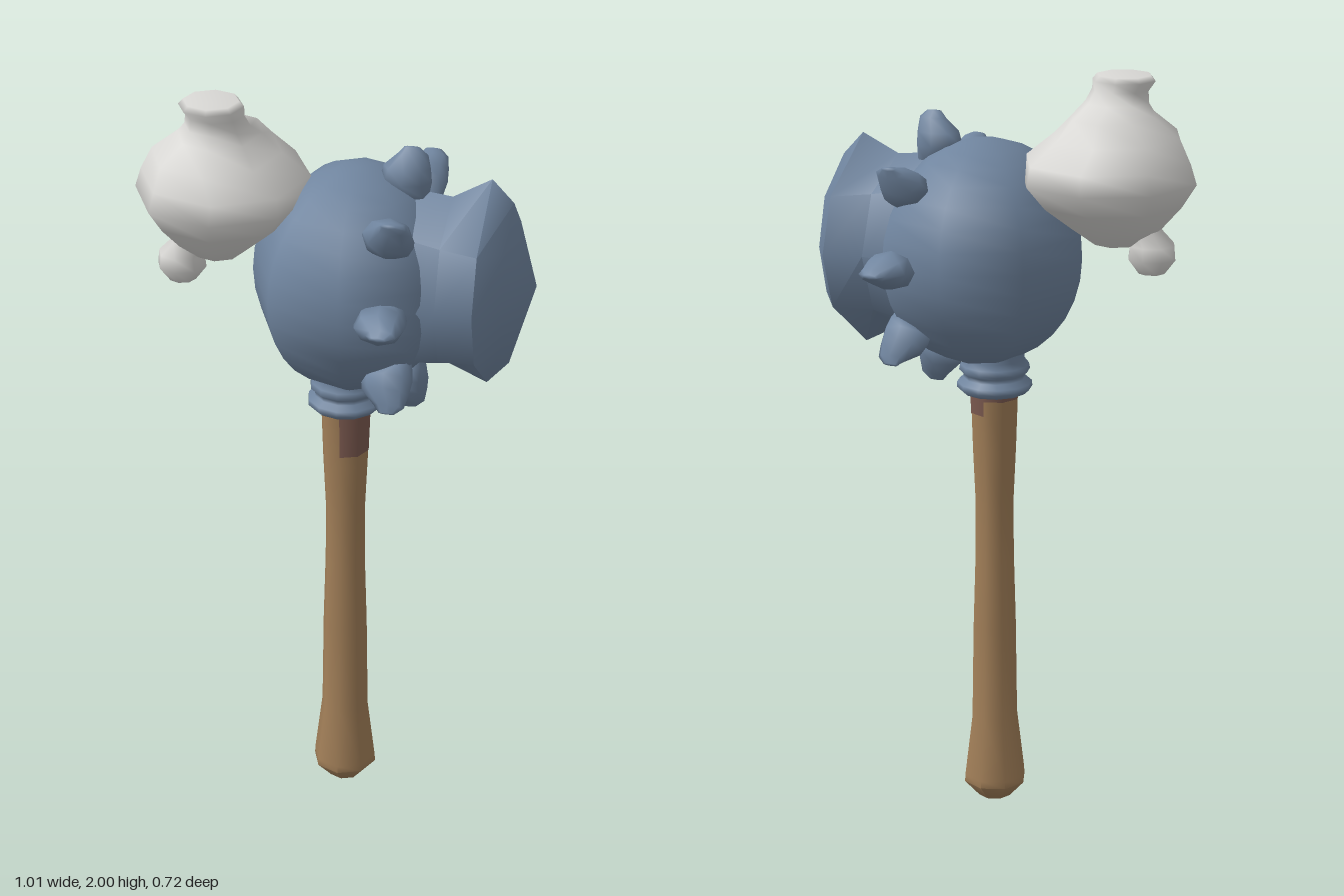
import * as THREE from 'three';
import { mergeVertices, toCreasedNormals } from 'three/addons/utils/BufferGeometryUtils.js';

const mat = (name, color) => new THREE.MeshStandardMaterial({ name, color });

// Signed power, used to pinch a round section toward a lens.
const spow = (v, p) => Math.sign(v) * Math.pow(Math.abs(v), p);

// Skin over rings stacked along y: [y, centreX, centreZ, radiusX, radiusZ, powerX, powerZ]
function loft(stations, sides = 8, turn = 0, crease = 0) {
  const pos = [], idx = [];
  for (const [y, cx, cz, rx, rz, px = 1, pz = 1] of stations) {
    for (let j = 0; j < sides; j++) {
      const a = turn + (j / sides) * Math.PI * 2;
      pos.push(cx + rx * spow(Math.sin(a), px), y, cz + rz * spow(Math.cos(a), pz));
    }
  }
  for (let i = 0; i < stations.length - 1; i++) {
    for (let j = 0; j < sides; j++) {
      const k = (j + 1) % sides;
      const a = i * sides + j, b = i * sides + k;
      idx.push(a, b, a + sides, b, b + sides, a + sides);
    }
  }
  let g = new THREE.BufferGeometry();
  g.setAttribute('position', new THREE.Float32BufferAttribute(pos, 3));
  g.setIndex(idx);
  g = mergeVertices(g, 1e-5);
  g.computeVertexNormals();
  return crease ? toCreasedNormals(g, crease) : g;
}

export function createModel() {
  const root = new THREE.Group();
  root.name = 'spikedHammer';
  const steel = mat('blueSteel', 0x70859f);
  const wood = mat('wood', 0xa38059);
  const stain = mat('darkStain', 0x7c5a50);
  const cloth = mat('paleCloth', 0xd9d8d5);

  const add = (name, geometry, material, parent = root) => {
    const m = new THREE.Mesh(geometry, material);
    m.name = name;
    parent.add(m);
    return m;
  };

  // Handle, flared at the foot
  const cx = 0.02, cz = 0.012;
  const round = (list) => list.map(([y, r]) => [y, cx, cz, r, r]);
  add('handle', loft(round([
    [0, 0], [0.004, 0.045], [0.05, 0.086], [0.07, 0.085], [0.24, 0.064], [0.5, 0.06],
    [0.7, 0.054], [0.85, 0.053], [1.0, 0.06], [1.18, 0.066],
  ]), 8, 0, 0.9), wood);

  // Stain wrapped round the top of the handle, reaching lower at the front
  const stainPatches = [[1.03, 0, 2], [1.1, 2, 2], [1.14, 4, 2]];
  for (const [y, first, count] of stainPatches) {
    const low = 0.0625 + (y - 1.03) * 0.033;
    const g = new THREE.CylinderGeometry(0.068, low, 1.175 - y, count, 1, true,
      first * Math.PI / 4, count * Math.PI / 4);
    add('handleStain', g, stain).position.set(cx, (1.175 + y) / 2, cz);
  }

  // Double-ringed collar
  add('collar', loft(round([
    [1.152, 0.055], [1.155, 0.085], [1.168, 0.099], [1.182, 0.098], [1.193, 0.08],
    [1.205, 0.082], [1.215, 0.093], [1.23, 0.09], [1.245, 0.078], [1.32, 0.085],
  ]), 12), steel);

  // Ball: eight-sided around, smooth from top to bottom
  const ball = [];
  for (let i = 0; i <= 16; i++) {
    const t = (i / 16) * Math.PI;
    const s = Math.sin(t);
    ball.push([1.528 - 0.293 * Math.cos(t), 0.05, 0.008, 0.268 * s, 0.302 * s]);
  }
  add('headBall', loft(ball, 8, 0.09), steel);

  // Flared striking face on the +x side, lens-shaped with a blunt point
  const face = add('strikingFace', loft([
    [0.05, 0, 0, 0.2, 0.2],
    [0.2, 0, 0, 0.24, 0.21],
    [0.29, 0, 0, 0.23, 0.205, 1.2, 0.9],
    [0.385, 0, -0.015, 0.28, 0.225, 1.9, 0.68],
    [0.44, 0, -0.02, 0.22, 0.14, 1.6, 0.8],
    [0.503, 0, -0.025, 0, 0],
  ], 8, 0, 0.8), steel);
  face.rotation.z = -Math.PI / 2;
  face.position.y = 1.533;

  // Ring of eight leaf-shaped studs
  const stud = loft([
    [0.2, 0.2, 0, 0.02, 0.02],
    [0.235, 0.195, 0, 0.035, 0.035],
    [0.27, 0.17, 0, 0.066, 0.05],
    [0.305, 0.173, 0, 0.06, 0.042],
    [0.34, 0.188, 0, 0.038, 0.018],
    [0.358, 0.185, 0, 0.02, 0.006],
    [0.36, 0.185, 0, 0, 0],
  ], 8);
  const studs = new THREE.Group();
  studs.name = 'studs';
  studs.position.y = 1.526;
  root.add(studs);
  for (let i = 0; i < 8; i++) add('stud', stud, steel, studs).rotation.x = i * Math.PI / 4;

  // Pale pouch with a gathered neck
  add('pouch', loft([
    [1.57, -0.3, 0.06, 0, 0],
    [1.575, -0.3, 0.06, 0.06, 0.06],
    [1.62, -0.3, 0.055, 0.12, 0.12],
    [1.68, -0.288, 0.05, 0.185, 0.19],
    [1.74, -0.283, 0.047, 0.228, 0.238],
    [1.79, -0.28, 0.047, 0.215, 0.225],
    [1.85, -0.3, 0.055, 0.163, 0.19],
    [1.9, -0.29, 0.055, 0.105, 0.135],
    [1.93, -0.287, 0.085, 0.083, 0.085],
    [1.96, -0.29, 0.095, 0.074, 0.068],
    [1.985, -0.298, 0.1, 0.082, 0.082],
    [1.998, -0.298, 0.1, 0.07, 0.07],
    [1.99, -0.298, 0.1, 0, 0],
  ], 8, 0.12), cloth);

  // Small knot hanging below the pouch
  const knot = add('pouchKnot', loft([
    [-0.065, 0, 0, 0, 0],
    [-0.058, 0, 0, 0.035, 0.035],
    [-0.02, 0, 0, 0.064, 0.062],
    [0.015, 0, 0, 0.06, 0.06],
    [0.05, 0.02, 0, 0.045, 0.045],
    [0.12, 0.05, 0, 0.06, 0.06],
  ], 8), cloth);
  knot.position.set(-0.39, 1.56, 0.08);

  return root;
}
